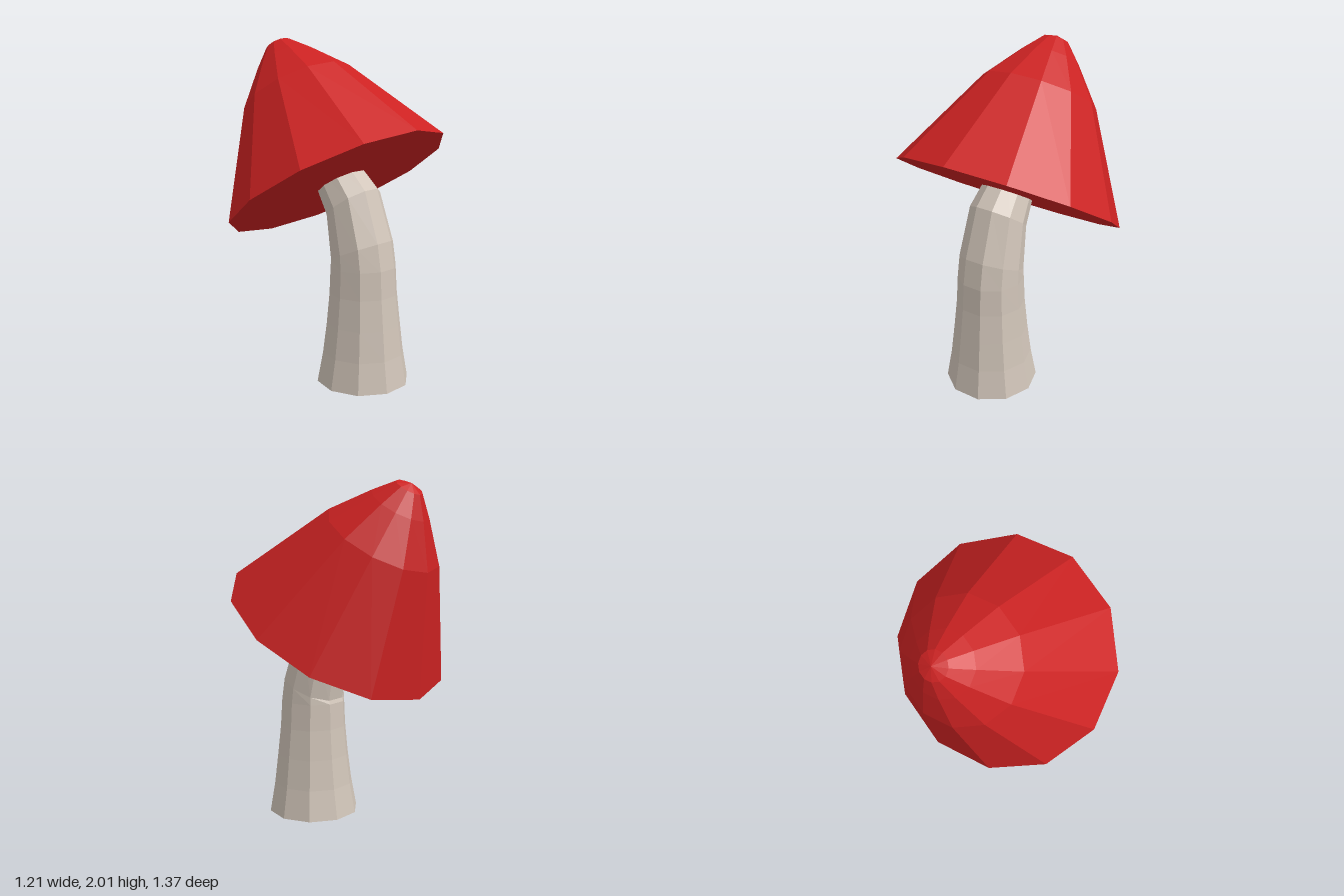
import * as THREE from 'three';

const material = (color) =>
  new THREE.MeshStandardMaterial({ color, flatShading: true });

// Cap: twelve-sided tapering dome with a flat underside, tipped to one side
function createCap() {
  const profile = [[0, 0], [0.685, 0], [0.348, 0.623], [0.177, 0.837], [0.08, 0.944], [0, 0.97]]
    .map(([r, h]) => new THREE.Vector2(r, h));
  const cap = new THREE.Mesh(new THREE.LatheGeometry(profile, 12), material(0xcc2222));
  cap.name = 'cap';
  cap.position.set(0.02, 1.16, 0);
  cap.rotation.z = Math.atan2(0.72, 1.165);
  return cap;
}

// Stem: ten-sided tube, straight and flared below, bending under the cap
function createStem() {
  // Each ring: centre x, centre y, radius, tilt in degrees
  const rings = [
    [0.215, 0, 0.275, 0],
    [0.217, 0.18, 0.243, 0],
    [0.218, 0.36, 0.221, 0],
    [0.216, 0.54, 0.203, 0],
    [0.214, 0.7, 0.195, 1],
    [0.205, 0.79, 0.192, 23],
    [0.135, 1.06, 0.173, 35],
    [-0.02, 1.25, 0.14, 38],
  ];
  const last = rings.length - 1;
  const profile = [
    new THREE.Vector2(0, 0),
    ...rings.map((ring, i) => new THREE.Vector2(ring[2], i)),
    new THREE.Vector2(0, last),
  ];
  const geometry = new THREE.LatheGeometry(profile, 10);

  // The height of each lathe vertex is its ring number; place it on that ring
  const pos = geometry.attributes.position;
  for (let i = 0; i < pos.count; i++) {
    const [cx, cy, , tilt] = rings[Math.round(pos.getY(i))];
    const a = THREE.MathUtils.degToRad(tilt);
    const x = pos.getX(i);
    pos.setXYZ(i, cx + x * Math.cos(a), cy + x * Math.sin(a), pos.getZ(i) - 0.012);
  }
  geometry.computeVertexNormals();

  const stem = new THREE.Mesh(geometry, material(0xd0c4b8));
  stem.name = 'stem';
  return stem;
}

export function createModel() {
  const model = new THREE.Group();
  model.name = 'mushroom';
  model.add(createCap(), createStem());
  return model;
}
